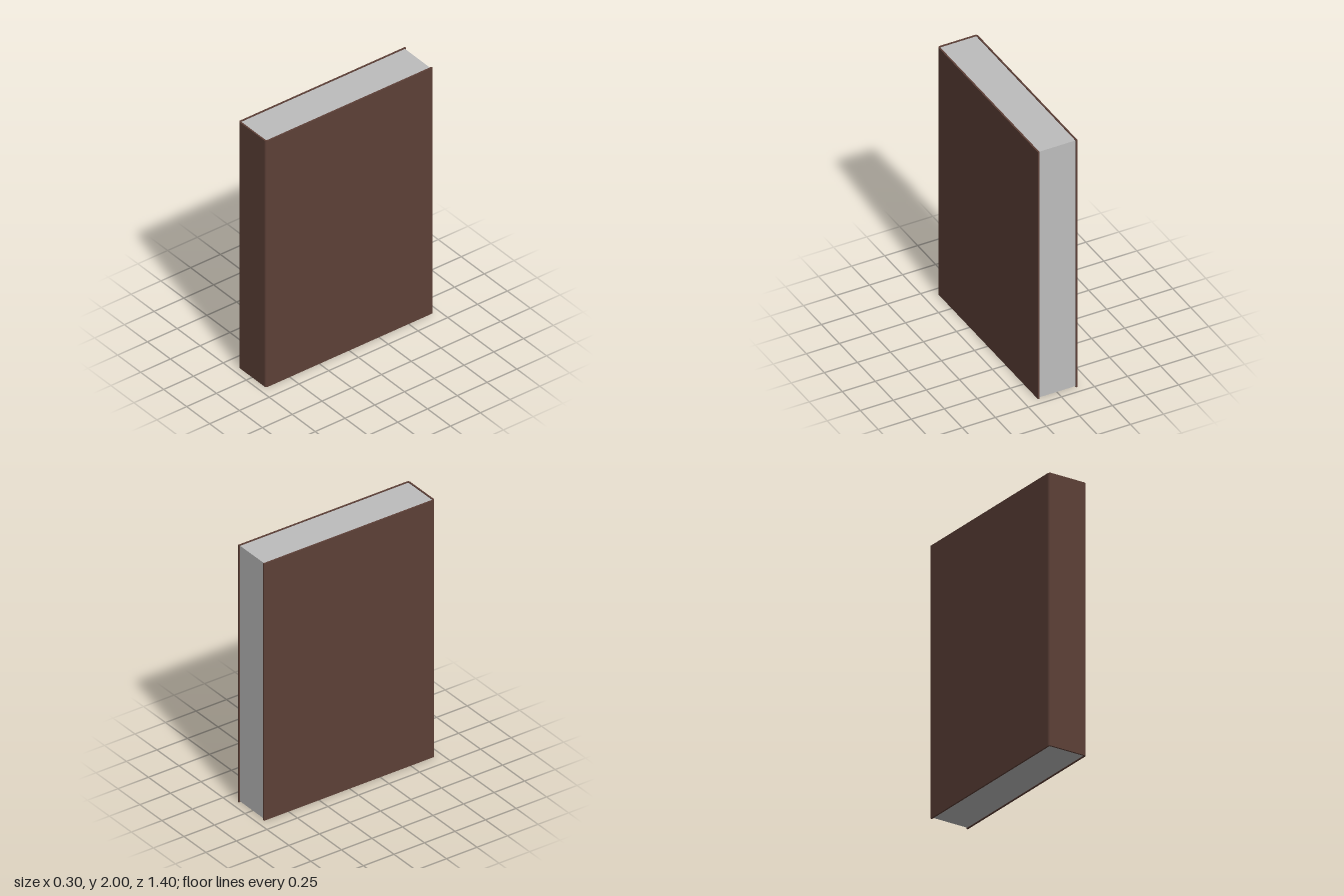
import * as THREE from 'three';

export function createModel() {
  const group = new THREE.Group();
  const coverMat = new THREE.MeshStandardMaterial({ color: 0x5d4037 });
  coverMat.name = 'brown cover';
  const paperMat = new THREE.MeshStandardMaterial({ color: 0xbdbdbd });
  paperMat.name = 'grey paper';

  const height = 2, halfW = 0.15, halfD = 0.7, board = 0.012, round = 0.017, inset = 0.005;
  const innerW = halfW - board, innerD = halfD - board, innerRound = round - board;

  // Cover: one U-shaped section (two boards and a spine with rounded corners), drawn with y = -z
  const u = new THREE.Shape();
  u.moveTo(-halfW, halfD);
  u.lineTo(-halfW, -halfD + round);
  u.absarc(-halfW + round, -halfD + round, round, Math.PI, Math.PI * 1.5, false);
  u.lineTo(halfW - round, -halfD);
  u.absarc(halfW - round, -halfD + round, round, -Math.PI / 2, 0, false);
  u.lineTo(halfW, halfD);
  u.lineTo(innerW, halfD);
  u.lineTo(innerW, -innerD + innerRound);
  u.absarc(innerW - innerRound, -innerD + innerRound, innerRound, 0, -Math.PI / 2, true);
  u.lineTo(-innerW + innerRound, -innerD);
  u.absarc(-innerW + innerRound, -innerD + innerRound, innerRound, Math.PI * 1.5, Math.PI, true);
  u.lineTo(-innerW, halfD);
  u.closePath();
  const coverGeo = new THREE.ExtrudeGeometry(u, { depth: height, bevelEnabled: false, curveSegments: 4 });
  coverGeo.rotateX(-Math.PI / 2);
  const cover = new THREE.Mesh(coverGeo, coverMat);
  cover.name = 'cover';
  group.add(cover);

  // Page block: fills the cover, slightly recessed at top, bottom and fore edge
  const back = -halfD + 0.01;
  const pages = new THREE.Mesh(
    new THREE.BoxGeometry(innerW * 2, height - inset * 2, innerD - back), paperMat);
  pages.name = 'pages';
  pages.position.set(0, height / 2, (innerD + back) / 2);
  group.add(pages);

  return group;
}
